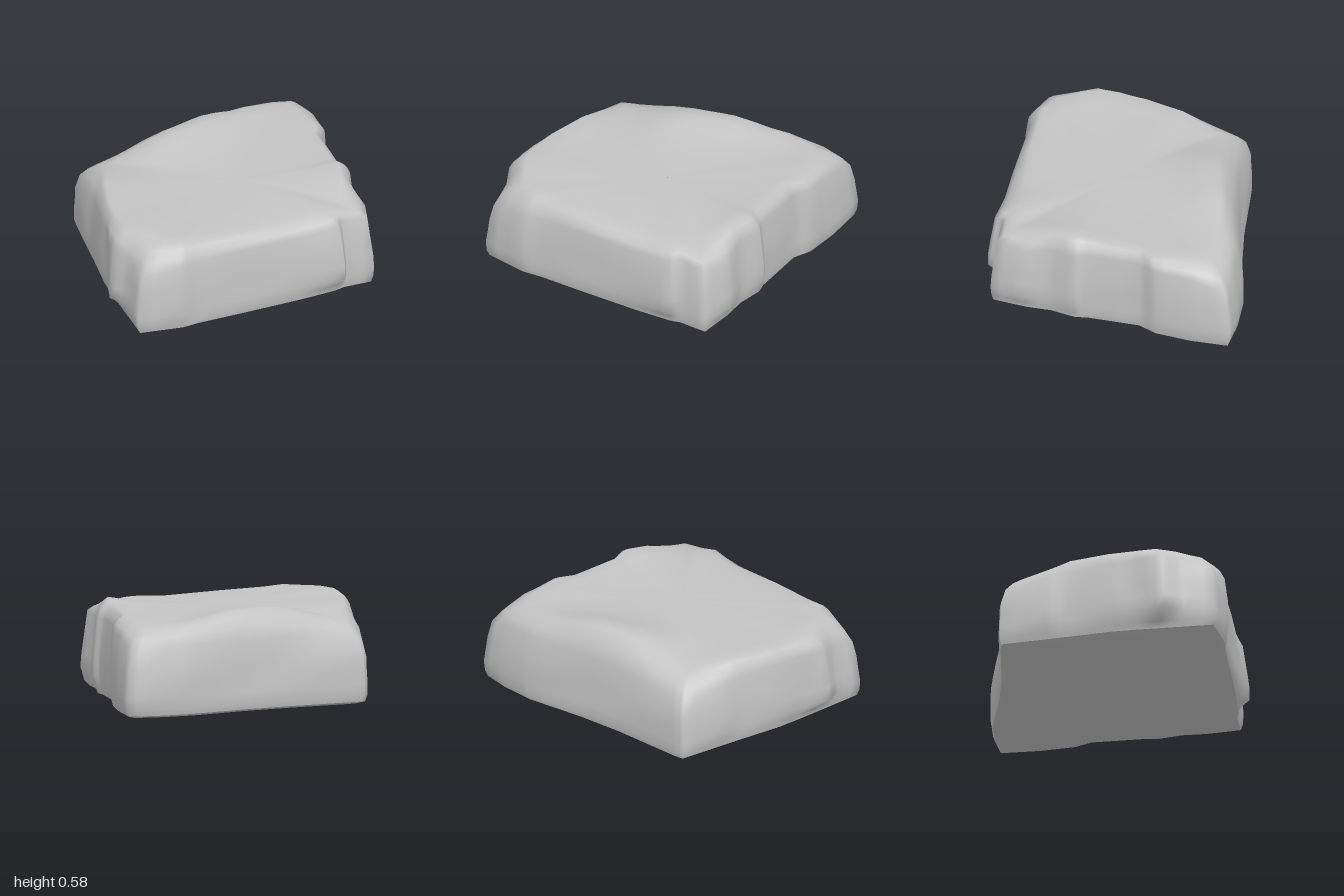
import * as THREE from 'three';

// Widest outline of the block as [x, z, foot scale], running clockwise seen from above
const outline = [
  [-0.48, -1, 1], [-0.27, -0.93, 0.99], [-0.08, -0.84, 0.98], [0, -0.74, 1], [0.3, -0.62, 1], [0.37, -0.63, 0.97],
  [0.5, -0.53, 0.99], [0.66, -0.5, 0.95], [0.81, -0.38, 1], [0.75, -0.22, 1], [0.8, -0.17, 0.93], [0.7, 0.05, 0.98],
  [0.57, 0.4, 1], [0.48, 0.66, 1], [0.46, 0.79, 0.98], [0.33, 1, 1], [0.16, 0.95, 0.98], [0.04, 0.96, 0.92],
  [-0.09, 0.86, 0.97], [-0.23, 0.79, 0.98], [-0.45, 0.66, 0.99], [-0.58, 0.61, 0.97], [-0.81, 0.46, 1],
  [-0.8, 0.39, 1], [-0.7, -0.02, 1], [-0.65, -0.3, 1], [-0.61, -0.65, 1], [-0.55, -0.85, 1],
];

// Rim of the flat top as [x, z, rim height, shoulder height], matching the outline
const rim = [
  [-0.37, -0.79, 0.52, 0.38], [-0.25, -0.77, 0.53, 0.45], [-0.07, -0.74, 0.53, 0.46], [0, -0.67, 0.53, 0.46],
  [0.27, -0.54, 0.54, 0.46], [0.36, -0.52, 0.56, 0.46], [0.46, -0.45, 0.55, 0.45], [0.55, -0.37, 0.52, 0.42],
  [0.62, -0.3, 0.49, 0.43], [0.61, -0.2, 0.51, 0.46], [0.6, -0.12, 0.51, 0.45], [0.57, 0.03, 0.5, 0.43],
  [0.49, 0.35, 0.51, 0.43], [0.4, 0.61, 0.52, 0.42], [0.36, 0.71, 0.53, 0.42], [0.26, 0.79, 0.53, 0.37],
  [0.14, 0.81, 0.54, 0.41], [0.02, 0.82, 0.54, 0.44], [-0.1, 0.78, 0.53, 0.45], [-0.23, 0.71, 0.53, 0.44],
  [-0.42, 0.57, 0.53, 0.43], [-0.52, 0.47, 0.51, 0.41], [-0.6, 0.38, 0.49, 0.37], [-0.59, 0.31, 0.5, 0.38],
  [-0.55, -0.03, 0.53, 0.42], [-0.53, -0.27, 0.53, 0.42], [-0.48, -0.57, 0.53, 0.42], [-0.42, -0.72, 0.52, 0.41],
];

const STEPS = 3;
const mix = THREE.MathUtils.lerp;

// Split every edge of a closed list of points
function subdivide(points) {
  return points.flatMap((p, i) => {
    const q = points[(i + 1) % points.length];
    return Array.from({ length: STEPS }, (_, k) => p.map((v, n) => mix(v, q[n], k / STEPS)));
  });
}

// Closed skin over rings of equal length, lowest ring first
function skin(rings) {
  const n = rings[0].length;
  const index = [];
  for (let j = 0; j < rings.length - 1; j++) {
    for (let i = 0; i < n; i++) {
      const a = j * n + i, b = j * n + (i + 1) % n;
      index.push(a, a + n, b, b, a + n, b + n);
    }
  }
  const geometry = new THREE.BufferGeometry();
  geometry.setAttribute('position', new THREE.Float32BufferAttribute(rings.flat(2), 3));
  geometry.setIndex(index);
  geometry.computeVertexNormals();
  return geometry;
}

// Chipped side relief: shallow dents and one slanting ridge on the front
function relief(x, y, z) {
  const dent = Math.sin(7 * x + 9 * y + 1) * Math.cos(6 * z - 8 * y);
  const fade = THREE.MathUtils.clamp((y - 0.03) / 0.15, 0, 1);
  const offset = x - (-0.05 + 0.55 * (0.45 - y));
  const ridge = z > 0.7 && z < 0.93 ? 0.03 * Math.exp(-((offset / 0.05) ** 2)) : 0;
  return 1 - fade * (0.006 + 0.01 * dent - ridge);
}

// Low, long hump on the left side of the top
function hump(x, z) {
  return 0.055 * Math.exp(-(((x + 0.48) / 0.15) ** 2) - ((z + 0.11) / 0.32) ** 4);
}

export function createModel() {
  const stone = new THREE.MeshStandardMaterial({ color: 0xc4c4c4 });
  stone.name = 'stone grey';
  const outer = subdivide(outline);
  const top = subdivide(rim);

  // Foot tucked in under the widest outline
  const foot = (scale, y) => outer.map(([x, z, f]) => [x * f * scale, y, z * f * scale]);
  const rings = [foot(0.98, 0.022), foot(0.995, 0.06)];

  // Sides leaning slightly inwards: [height, inset]
  for (const [y, inset] of [[0.12, 0], [0.2, 0.02], [0.28, 0.06]]) {
    rings.push(outer.map(([x, z], i) => {
      const s = relief(x, y, z);
      return [mix(x, top[i][0], inset) * s, y, mix(z, top[i][1], inset) * s];
    }));
  }

  // Rounded shoulder from the sides to the rim: [inset, rise]
  for (const [inset, rise] of [[0.2, 0], [0.42, 0.45], [0.7, 0.8], [1, 1]]) {
    rings.push(outer.map(([x, z], i) => {
      const [rx, rz, ry, sy] = top[i];
      const y = mix(sy, ry + hump(rx, rz), rise);
      const s = mix(relief(x, y, z), 1, inset);
      return [mix(x, rx, inset) * s, y, mix(z, rz, inset) * s];
    }));
  }

  // Nearly flat top closing on the middle
  for (const t of [0.88, 0.75, 0.6, 0.35, 0.001]) {
    rings.push(top.map(([rx, rz, ry]) => {
      const x = mix(0.05, rx, t), z = rz * t;
      return [x, mix(0.52, ry, t ** 3) + hump(x, z), z];
    }));
  }

  // Flat underside with a thin chamfer
  const base = [foot(0.001, 0), foot(0.92, 0.006), foot(0.98, 0.022)];

  const group = new THREE.Group();
  group.name = 'rock';
  const body = new THREE.Mesh(skin(rings), stone);
  body.name = 'rockBody';
  const underside = new THREE.Mesh(skin(base), stone);
  underside.name = 'underside';
  group.add(body, underside);
  return group;
}
